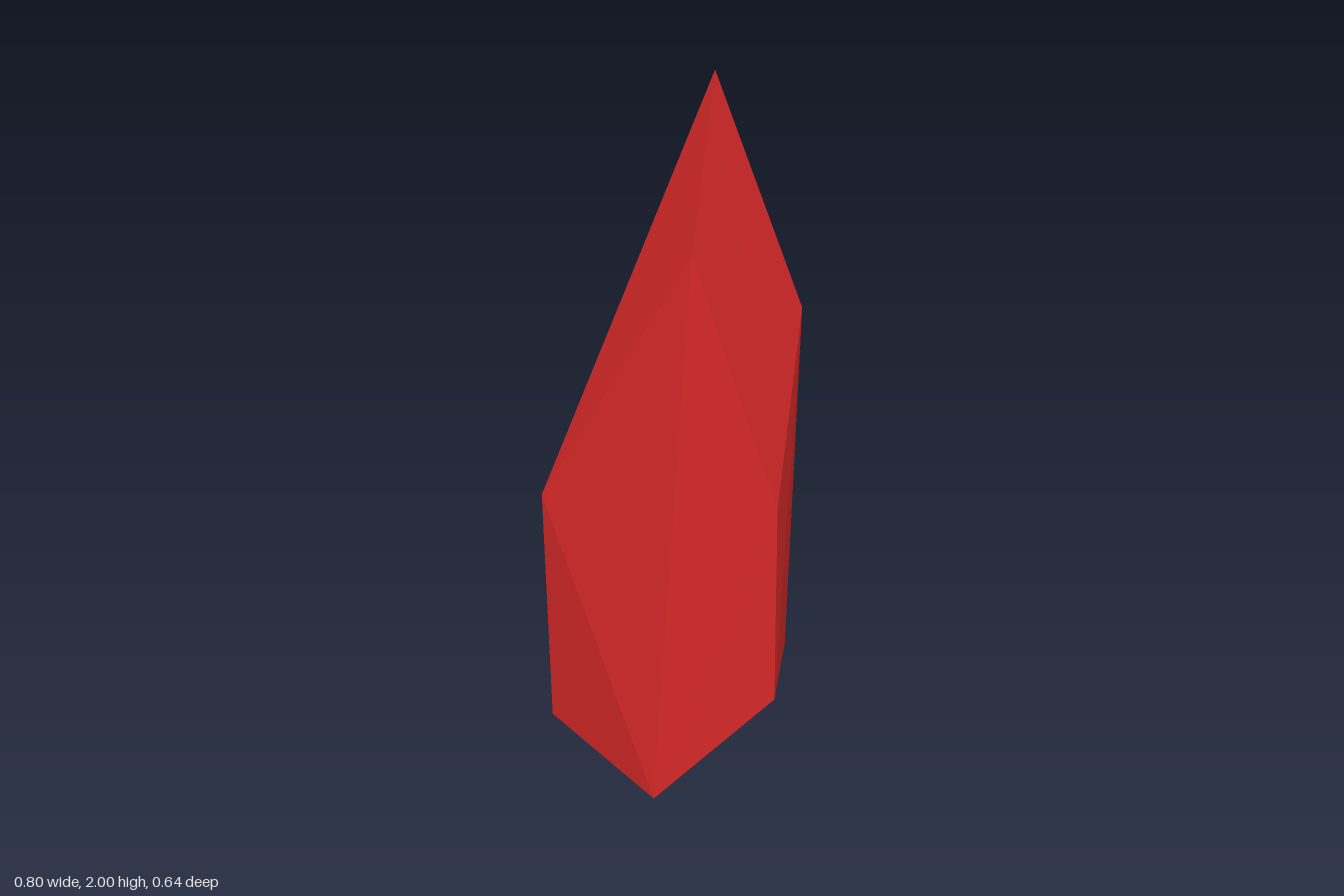
import * as THREE from 'three';

const v = (x, y, z) => new THREE.Vector3(x, y, z);

// Split an outward counter-clockwise quad along the diagonal that keeps it convex
function quad(a, b, c, d) {
  const normal = b.clone().sub(a).cross(c.clone().sub(a));
  return normal.dot(d.clone().sub(a)) <= 0 ? [a, b, c, a, c, d] : [a, b, d, b, c, d];
}

export function createModel() {
  const tip = v(0.12, 2, 0);
  const base = v(-0.17, 0, 0);

  // Six-sided rings, from the +x corner round by the front
  const shoulder = [
    v(0.397, 1.3, 0), v(0.178, 0.83, 0.32), v(-0.07, 1.57, 0.292),
    v(-0.4, 0.845, 0), v(-0.195, 0.966, -0.245), v(0.178, 0.83, -0.284),
  ];
  const foot = [
    v(0.363, 0.245, 0), v(0.178, 0.245, 0.322), v(-0.195, 0.005, 0.322),
    v(-0.382, 0.155, 0), v(-0.195, 0.005, -0.322), v(0.178, 0.245, -0.322),
  ];

  // Pointed cap, side walls and shallow underside
  const corners = [];
  for (let i = 0; i < 6; i++) {
    const j = (i + 1) % 6;
    corners.push(tip, shoulder[j], shoulder[i]);
    corners.push(...quad(shoulder[i], shoulder[j], foot[j], foot[i]));
    corners.push(base, foot[i], foot[j]);
  }
  const geometry = new THREE.BufferGeometry().setFromPoints(corners);
  geometry.computeVertexNormals();

  const crystal = new THREE.Mesh(
    geometry,
    new THREE.MeshStandardMaterial({ color: 0xd62828, flatShading: true }),
  );
  crystal.name = 'crystal';

  const group = new THREE.Group();
  group.name = 'crystalShard';
  group.add(crystal);
  return group;
}
